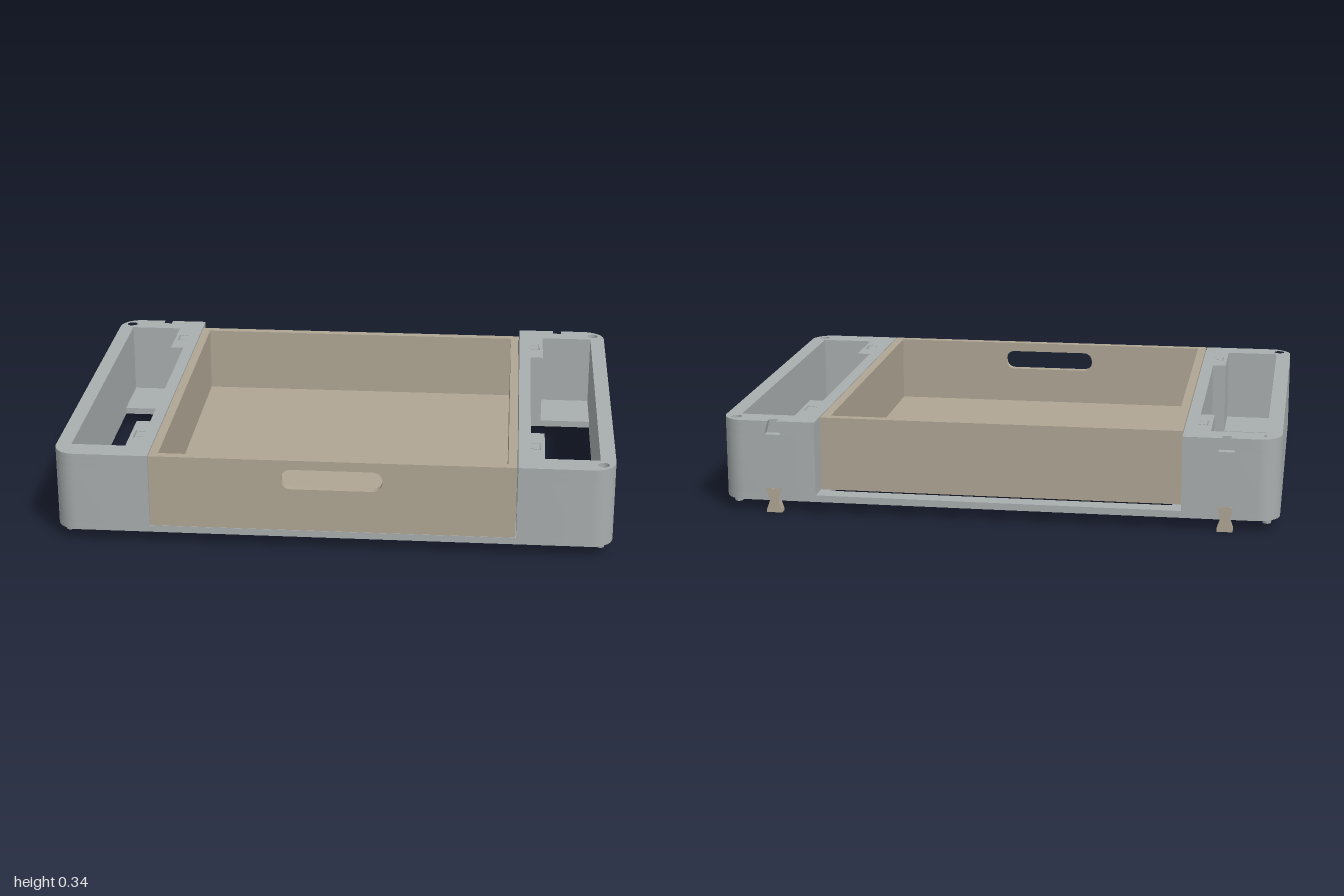
import * as THREE from 'three';
import { toCreasedNormals } from 'three/addons/utils/BufferGeometryUtils.js';

const BOTTOM = 0.045, TOP = 0.34, BACK = -0.72, FRONT = 0.715;
const SEAM = 0.7;        // plane where housing and rail meet
const KEY_X = 0.81;      // centre of the dovetail keys on the back

export function createModel() {
  const grey = new THREE.MeshStandardMaterial({ color: 0xa9aeaf });
  grey.name = 'frameGrey';
  const tan = new THREE.MeshStandardMaterial({ color: 0xb0a694 });
  tan.name = 'drawerTan';
  const model = new THREE.Group();
  model.name = 'drawerUnit';

  const add = (parent, name, geometry, material) => {
    const mesh = new THREE.Mesh(geometry, material);
    mesh.name = name;
    parent.add(mesh);
    return mesh;
  };
  const box = (parent, name, x0, x1, y0, y1, z0, z1, material) =>
    add(parent, name, new THREE.BoxGeometry(x1 - x0, y1 - y0, z1 - z0), material)
      .position.set((x0 + x1) / 2, (y0 + y1) / 2, (z0 + z1) / 2);
  const vectors = (points, side = 1) => points.map(([x, y]) => new THREE.Vector2(x * side, y));
  // Plan outline (x, z) raised from y0 to y1
  const slab = (points, holes, y0, y1, side = 1) => {
    const shape = new THREE.Shape(vectors(points, side));
    for (const hole of holes) shape.holes.push(new THREE.Path(vectors(hole, side)));
    const geometry = new THREE.ExtrudeGeometry(shape, { depth: y1 - y0, bevelEnabled: false });
    geometry.rotateX(Math.PI / 2).translate(0, y1, 0);
    return toCreasedNormals(geometry, 0.5);
  };
  // Elevation outline (x, y) with thickness along z
  const plate = (shape, z0, z1) => {
    const geometry = new THREE.ExtrudeGeometry(shape, { depth: z1 - z0, bevelEnabled: false, curveSegments: 10 });
    return toCreasedNormals(geometry.translate(0, 0, z0), 0.5);
  };
  const arc = (cx, cz, r, from, to, n) => Array.from({ length: n + 1 }, (_, i) => {
    const a = from + (to - from) * i / n;
    return [cx + r * Math.cos(a), cz + r * Math.sin(a)];
  });
  // Dovetail profile at the seam, listed towards -z; gap widens the socket
  const tail = (z, gap) => [
    [SEAM, z + 0.018 + gap], [SEAM + 0.031 + gap, z + 0.028 + gap],
    [SEAM + 0.031 + gap, z - 0.028 - gap], [SEAM, z - 0.018 - gap],
  ];

  // Housing outlines: rounded outside, then the inner boundary
  const r = 0.08;
  const outside = [
    ...arc(1 - r, BACK + r, r, -Math.PI / 2, 0, 10),
    ...arc(1 - r, FRONT - r, r, 0, Math.PI / 2, 10),
    [SEAM, FRONT], ...tail(0.515, 0.005), [SEAM, 0.39],
  ];
  const pocket = [[0.75, 0.39], [0.75, 0.625], [0.945, 0.625], [0.945, -0.63], [0.75, -0.63], [0.75, -0.4]];
  const opening = [[0.945, 0.39], [0.945, -0.4]];
  const inside = [[SEAM, -0.4], ...tail(-0.52, 0.005), [SEAM, BACK]];
  const keyNotch = [
    [KEY_X - 0.028, BACK], [KEY_X - 0.028, BACK + 0.03],
    [KEY_X + 0.028, BACK + 0.03], [KEY_X + 0.028, BACK],
  ];
  const pinHoles = [BACK + 0.05, FRONT - 0.05].map((z) => arc(0.955, z, 0.02, 0, Math.PI * 1.9, 19));

  for (const side of [1, -1]) {
    const housing = new THREE.Group();
    housing.name = side > 0 ? 'leftHousing' : 'rightHousing';
    model.add(housing);
    add(housing, 'housingFloor', slab([...outside, ...opening, ...inside], [], BOTTOM, 0.07, side), grey);
    add(housing, 'housingWall', slab([...outside, ...pocket, ...inside], [], 0.07, 0.29, side), grey);
    add(housing, 'housingUpperWall', slab([...outside, ...pocket, ...inside, ...keyNotch], [], 0.29, 0.32, side), grey);
    add(housing, 'housingRim', slab([...outside, ...pocket, ...inside, ...keyNotch], pinHoles, 0.32, TOP, side), grey);

    // Wedges narrow the mouth of the key notch into a dovetail
    for (const s of [1, -1]) {
      const x = KEY_X * side;
      const wedge = new THREE.Shape(vectors([[x + s * 0.028, 0.295], [x + s * 0.028, TOP], [x + s * 0.016, TOP]]));
      add(housing, 'notchWedge', plate(wedge, BACK, BACK + 0.03), grey);
    }

    // Bow-tie key, half sunk in the back of the housing
    const bow = new THREE.Shape(vectors([
      [-0.028, 0], [0.028, 0], [0.028, 0.012], [0.016, 0.045], [0.028, 0.09],
      [-0.028, 0.09], [-0.016, 0.045], [-0.028, 0.012],
    ]));
    add(housing, 'dovetailKey', plate(bow, BACK - 0.001, BACK + 0.029), tan).position.x = side * KEY_X;

    // Stacking pins under the corners
    for (const z of [BACK + 0.05, FRONT - 0.05]) {
      add(housing, 'stackingPin', new THREE.CylinderGeometry(0.017, 0.015, 0.02, 20), grey)
        .position.set(side * 0.955, 0.036, z);
    }

    // Drawer rail with its two dovetails
    const rail = [
      [0.656, BACK], [0.656, FRONT], [SEAM, FRONT],
      ...tail(0.515, 0), ...tail(-0.52, 0), [SEAM, BACK],
    ];
    add(housing, 'drawerRail', slab(rail, [], BOTTOM, TOP, side), grey);
  }

  // Open base frame that carries the drawer
  const rect = (x, z0, z1) => [[-x, z0], [x, z0], [x, z1], [-x, z1]];
  add(model, 'baseFrame', slab(rect(0.656, BACK, FRONT), [rect(0.62, -0.655, 0.57)], BOTTOM, 0.07), grey);

  // Drawer: floor, three plain walls and a front with a handle slot
  const drawer = new THREE.Group();
  drawer.name = 'drawer';
  model.add(drawer);
  const w = 0.653, t = 0.032, y0 = 0.071, zBack = -0.645;
  box(drawer, 'drawerFloor', -w + t, w - t, y0, 0.092, zBack + t, FRONT - t, tan);
  box(drawer, 'drawerBack', -w, w, y0, TOP, zBack, zBack + t, tan);
  for (const s of [1, -1]) {
    const c = s * (w - t / 2);
    box(drawer, 'drawerSide', c - t / 2, c + t / 2, y0, TOP, zBack + t, FRONT - t, tan);
  }
  const front = new THREE.Shape(vectors([[-w, y0], [w, y0], [w, TOP], [-w, TOP]]));
  const slot = new THREE.Path();
  const sr = 0.034, sx = 0.18 - sr, sy0 = 0.23, sy1 = 0.305;
  slot.absarc(sx, sy0 + sr, sr, -Math.PI / 2, 0);
  slot.absarc(sx, sy1 - sr, sr, 0, Math.PI / 2);
  slot.absarc(-sx, sy1 - sr, sr, Math.PI / 2, Math.PI);
  slot.absarc(-sx, sy0 + sr, sr, Math.PI, Math.PI * 1.5);
  slot.closePath();
  front.holes.push(slot);
  add(drawer, 'drawerFront', plate(front, FRONT - t, FRONT), tan);

  return model;
}
